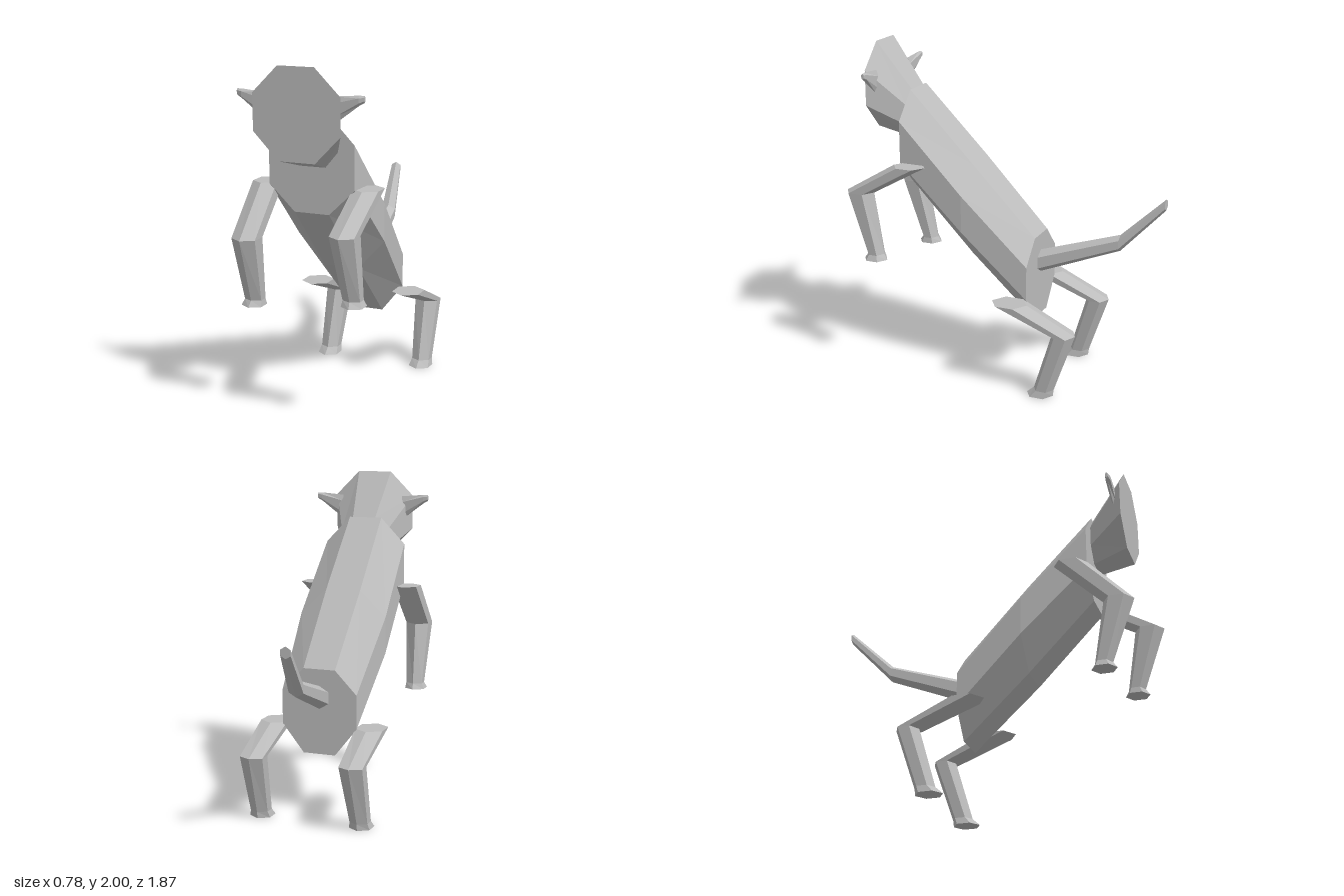
import * as THREE from 'three';

// Skin a list of rings (equal point counts) and cap both ends, faces outward
function loft(rings) {
  const tris = [], n = rings[0].length;
  for (let r = 0; r < rings.length - 1; r++) {
    for (let i = 0; i < n; i++) {
      const j = (i + 1) % n;
      const [a, b, c, d] = [rings[r][i], rings[r][j], rings[r + 1][j], rings[r + 1][i]];
      tris.push([a, b, c], [a, c, d]);
    }
  }
  const first = rings[0], last = rings[rings.length - 1];
  for (let i = 1; i < n - 1; i++) {
    tris.push([first[0], first[i + 1], first[i]], [last[0], last[i], last[i + 1]]);
  }
  // Signed volume tells whether the winding must be flipped
  const volume = tris.reduce((s, [a, b, c]) => s + a.dot(b.clone().cross(c)), 0);
  const points = tris.flatMap(([a, b, c]) => (volume < 0 ? [a, c, b] : [a, b, c]));
  const geo = new THREE.BufferGeometry().setFromPoints(points);
  geo.computeVertexNormals();
  return geo;
}

const V = (x, y, z) => new THREE.Vector3(x, y, z);

// Octagon facing z: four heights from bottom to top, side and top half widths
function octagon(z, [y0, y1, y2, y3], side, flat, cx = 0) {
  return [[flat, y0], [side, y1], [side, y2], [flat, y3], [-flat, y3], [-side, y2], [-side, y1], [-flat, y0]]
    .map(([x, y]) => V(cx + x, y, z));
}

// Unit hexagon with points at v = +-1 and flat sides at u = +-1
const HEX = [[0, 1], [1, 0.5], [1, -0.5], [0, -1], [-1, -0.5], [-1, 0.5]];
const hexFlat = (x, y, z, hx, hz) => HEX.map(([u, v]) => V(x + u * hx, y, z + v * hz));
const hexUpright = (x, y, z, hx, hy) => HEX.map(([u, v]) => V(x + u * hx, y + v * hy, z));
const hexSide = (x, y, z, hy, hz) => HEX.map(([u, v]) => V(x, y + v * hy, z + u * hz));

export function createModel() {
  const group = new THREE.Group();
  const grey = new THREE.MeshStandardMaterial({ color: 0xbcbcbc, flatShading: true });
  grey.name = 'grey';
  const add = (name, rings) => {
    const mesh = new THREE.Mesh(loft(rings), grey);
    mesh.name = name;
    group.add(mesh);
  };

  // Slanted torso
  add('body', [
    octagon(0.6, [1.16, 1.31, 1.56, 1.72], 0.26, 0.105),
    octagon(0.2, [0.75, 0.93, 1.155, 1.31], 0.275, 0.11),
    octagon(-0.2, [0.375, 0.545, 0.75, 0.89], 0.235, 0.1),
  ]);

  // Flared head with a flat face
  add('head', [
    octagon(0.6, [1.425, 1.515, 1.635, 1.72], 0.15, 0.075, 0.01),
    octagon(0.81, [1.485, 1.64, 1.85, 2.0], 0.258, 0.108, 0.012),
  ]);

  // Tail bending up and to one side
  add('tail', [
    hexUpright(0, 0.717, -0.19, 0.058, 0.07),
    hexUpright(-0.055, 0.88, -0.68, 0.045, 0.05),
    hexUpright(-0.103, 1.131, -0.935, 0.03, 0.034),
  ]);

  for (const [side, s] of [['left', 1], ['right', -1]]) {
    // Ears
    const e = 0.012;
    add(side + 'Ear', [
      hexSide(s * 0.2 + e, 1.772, 0.765, 0.075, 0.014),
      hexSide(s * 0.345 + e, 1.832, 0.763, 0.027, 0.014),
      hexSide(s * 0.375 + e, 1.84, 0.76, 0.018, 0.008),
    ]);

    // Front legs, the right one hanging lower
    const dy = s < 0 ? -0.085 : 0;
    const dz = s < 0 ? -0.055 : 0;
    add(side + 'FrontLeg', [
      hexFlat(s * 0.308, 1.31, 0.515, 0.075, 0.1),
      hexFlat(s * 0.308, 1.12 + dy, 0.845 + dz, 0.073, 0.09),
      hexFlat(s * 0.315, 0.74 + dy, 0.748 + dz, 0.052, 0.052),
      hexFlat(s * 0.32, 0.705 + dy, 0.75 + dz, 0.062, 0.075),
    ]);

    // Hind legs
    add(side + 'HindLeg', [
      hexFlat(s * 0.303, 0.545, -0.12, 0.085, 0.11),
      hexFlat(s * 0.308, 0.4, -0.465, 0.072, 0.07),
      hexFlat(s * 0.315, 0.04, -0.348, 0.055, 0.062),
      hexFlat(s * 0.315, 0, -0.323, 0.064, 0.082),
    ]);
  }
  return group;
}
